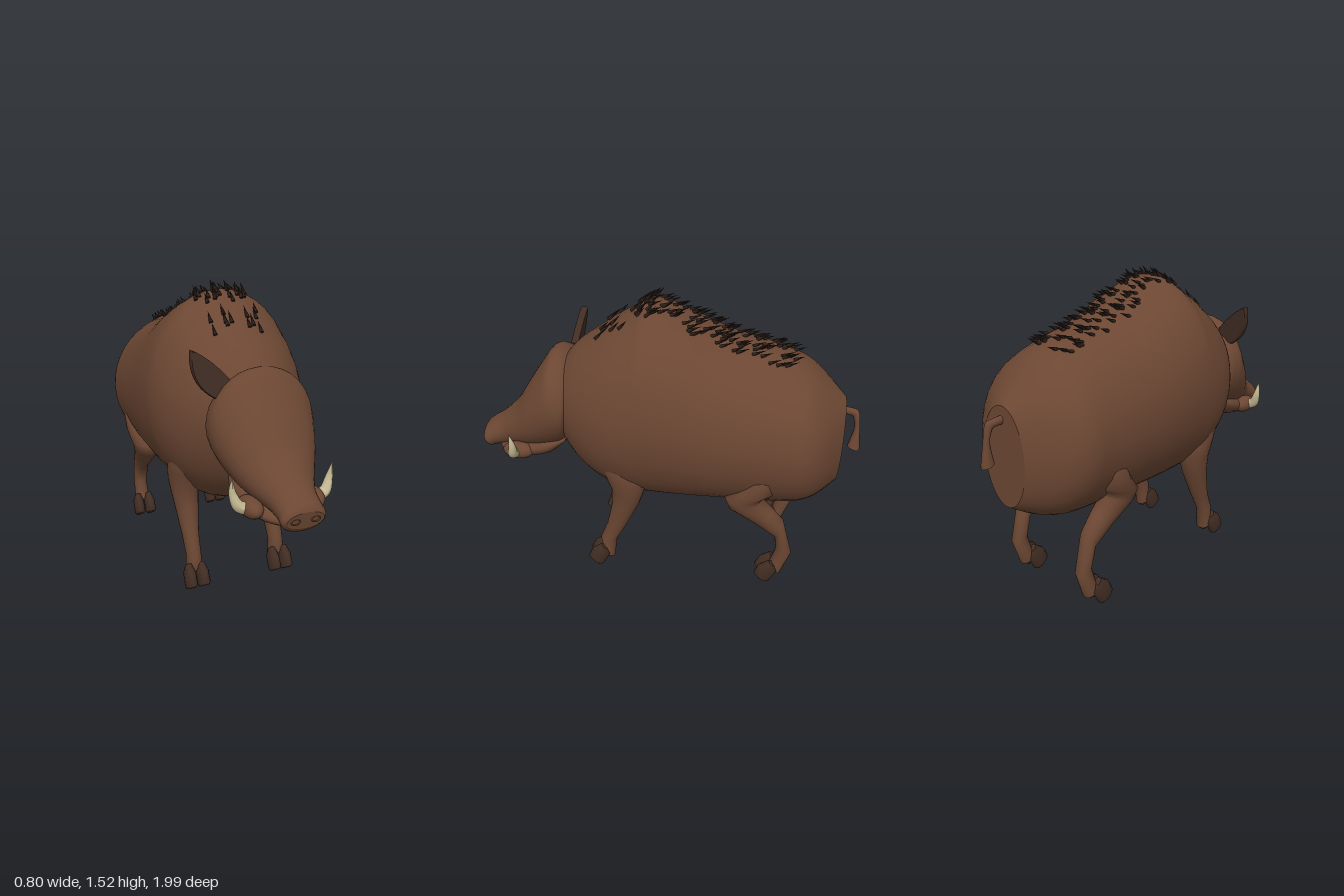
import * as THREE from 'three';
import { mergeGeometries } from 'three/addons/utils/BufferGeometryUtils.js';

const mat = (name, color) => {
  const m = new THREE.MeshStandardMaterial({ color });
  m.name = name;
  return m;
};

// Catmull-Rom refinement of a list of cross-sections
function refine(rings, steps) {
  const out = [], n = rings.length;
  for (let i = 0; i < n - 1; i++) {
    const [a, b, c, d] = [rings[Math.max(i - 1, 0)], rings[i], rings[i + 1], rings[Math.min(i + 2, n - 1)]];
    for (let s = 0; s < steps; s++) {
      const t = s / steps;
      out.push(b.map((p, k) => p + 0.5 * t * (c[k] - a[k] + t * (2 * a[k] - 5 * p + 4 * c[k] - d[k]
        + t * (3 * (p - c[k]) + d[k] - a[k])))));
    }
  }
  out.push(rings[n - 1]);
  return out;
}

// Skin over elliptical rings [z1, y1, z2, y2, halfWidth, centreX], with flat end caps
function loft(rings, sides = 24) {
  const pos = [], idx = [];
  const ringPoint = ([z1, y1, z2, y2, w, x = 0], j) => {
    const a = (j / sides) * Math.PI * 2, c = Math.cos(a), s = Math.sin(a);
    pos.push(x + w * c, (y1 + y2) / 2 + s * (y1 - y2) / 2, (z1 + z2) / 2 + s * (z1 - z2) / 2);
  };
  rings.forEach((r, i) => {
    for (let j = 0; j < sides; j++) {
      ringPoint(r, j);
      if (i === rings.length - 1) continue;
      const a = i * sides + j, b = i * sides + (j + 1) % sides;
      idx.push(a, b, a + sides, b, b + sides, a + sides);
    }
  });
  [rings[0], rings[rings.length - 1]].forEach((r, end) => {
    const start = pos.length / 3;
    for (let j = 0; j < sides; j++) ringPoint(r, j);
    for (let j = 1; j < sides - 1; j++) {
      if (end) idx.push(start, start + j, start + j + 1);
      else idx.push(start, start + j + 1, start + j);
    }
  });
  const g = new THREE.BufferGeometry();
  g.setAttribute('position', new THREE.Float32BufferAttribute(pos, 3));
  g.setIndex(idx);
  g.computeVertexNormals();
  return g;
}

export function createModel() {
  const root = new THREE.Group();
  root.name = 'boar';
  const hide = mat('brown hide', 0x6c4733);
  const dark = mat('dark brown', 0x412d23);
  const hair = mat('black bristle', 0x2a1e19);
  const ivory = mat('ivory', 0xc4b992);
  const add = (name, geometry, material, parent = root) => {
    const m = new THREE.Mesh(geometry, material);
    m.name = name;
    parent.add(m);
    return m;
  };

  // Body: z, top, bottom, half width
  const body = refine([
    [-0.9, 1.02, 0.54, 0.137], [-0.8, 1.12, 0.48, 0.285], [-0.7, 1.2, 0.445, 0.355], [-0.55, 1.26, 0.428, 0.366],
    [-0.3, 1.33, 0.42, 0.383], [-0.1, 1.42, 0.413, 0.396], [0.06, 1.472, 0.413, 0.397], [0.15, 1.43, 0.42, 0.39],
    [0.25, 1.37, 0.448, 0.367], [0.35, 1.3, 0.5, 0.324], [0.44, 1.235, 0.575, 0.265], [0.5, 1.17, 0.66, 0.215],
  ].map(([z, t, b, w]) => [z, t, z, b, w]), 4);
  add('body', loft(body, 40), hide);

  // Head tapering into the snout
  add('head', loft(refine([
    [0.455, 1.09, 0.49, 0.77, 0.22], [0.47, 1.15, 0.51, 0.71, 0.246], [0.52, 1.19, 0.535, 0.68, 0.253],
    [0.575, 1.19, 0.555, 0.665, 0.253], [0.635, 1.115, 0.6, 0.65, 0.237], [0.715, 0.995, 0.68, 0.63, 0.202],
    [0.79, 0.88, 0.76, 0.62, 0.157], [0.88, 0.79, 0.84, 0.61, 0.114], [0.945, 0.745, 0.915, 0.595, 0.103],
    [0.982, 0.715, 0.955, 0.587, 0.105], [0.995, 0.69, 0.978, 0.61, 0.088],
  ], 4), 32), hide);
  add('lowerJaw', loft(refine([
    [0.5, 0.75, 0.53, 0.68, 0.14], [0.6, 0.76, 0.6, 0.61, 0.178], [0.7, 0.72, 0.7, 0.578, 0.17],
    [0.8, 0.68, 0.8, 0.569, 0.145], [0.88, 0.65, 0.88, 0.58, 0.1], [0.92, 0.625, 0.92, 0.6, 0.03],
  ], 4)), hide);

  const leg = {
    front: [
      [0.275, 0.73, 0.16, 0.73, 0.045], [0.308, 0.695, 0.1, 0.69, 0.076], [0.28, 0.61, 0.075, 0.59, 0.08],
      [0.25, 0.52, 0.07, 0.54, 0.074], [0.252, 0.42, 0.105, 0.43, 0.062], [0.285, 0.27, 0.18, 0.27, 0.043],
      [0.325, 0.17, 0.235, 0.17, 0.038], [0.315, 0.09, 0.25, 0.05, 0.042],
    ],
    rear: [
      [-0.475, 0.72, -0.56, 0.72, 0.045], [-0.44, 0.685, -0.59, 0.69, 0.08], [-0.395, 0.61, -0.59, 0.605, 0.085],
      [-0.34, 0.54, -0.545, 0.57, 0.083], [-0.365, 0.475, -0.53, 0.535, 0.073], [-0.5, 0.38, -0.59, 0.465, 0.058],
      [-0.61, 0.295, -0.65, 0.395, 0.045], [-0.625, 0.21, -0.707, 0.19, 0.038], [-0.595, 0.1, -0.66, 0.05, 0.042],
    ],
  };
  const toe = [
    [0.315, 0.145, 0.285, 0.115, 0.017], [0.365, 0.11, 0.27, 0.08, 0.03],
    [0.39, 0.06, 0.305, 0.01, 0.031], [0.375, 0.04, 0.32, 0.002, 0.022],
  ];

  for (const side of [1, -1]) {
    const label = side > 0 ? 'left' : 'right';
    // Legs with cloven hooves
    for (const [end, shift] of [['front', 0], ['rear', -0.91]]) {
      const limb = leg[end].map(([z1, y1, z2, y2, w]) => {
        const lift = Math.max(0, (y1 + y2) / 2 - 0.4) * (end === 'front' ? 0.055 : 0.14);
        return [z1, y1, z2, y2, w, side * (0.231 + lift)];
      });
      const g = new THREE.Group();
      g.name = `${label} ${end} leg`;
      root.add(g);
      add('limb', loft(limb, 20), hide, g);
      for (const x of [0.2, 0.268]) {
        add('hoofToe', loft(toe.map(([z1, y1, z2, y2, w]) =>
          [z1 + shift, y1, z2 + shift, y2, w, side * x]), 14), dark, g);
      }
    }

    // Lip pouch at the root of each tusk
    const lip = add(`${label} lip`, new THREE.SphereGeometry(1, 18, 12), hide);
    lip.position.set(side * 0.15, 0.643, 0.77);
    lip.scale.set(0.05, 0.046, 0.085);

    // Tusk: a tapered, upswept tube
    const path = new THREE.CatmullRomCurve3([[0.175, 0.645, 0.78], [0.21, 0.66, 0.78], [0.235, 0.72, 0.77],
      [0.242, 0.795, 0.778]].map(([x, y, z]) => new THREE.Vector3(side * x, y, z)));
    const tusk = new THREE.TubeGeometry(path, 16, 0.029, 12);
    const p = tusk.attributes.position;
    const v = new THREE.Vector3();
    for (let i = 0; i < p.count; i++) {
      const t = Math.floor(i / 13) / 16;
      const c = path.getPointAt(t);
      v.fromBufferAttribute(p, i).sub(c).multiplyScalar(Math.max(0.03, 1 - t ** 1.7)).add(c);
      p.setXYZ(i, v.x, v.y, v.z);
    }
    tusk.computeVertexNormals();
    add(`${label} tusk`, tusk, ivory);

    // Nostril rim
    const nostril = add(`${label} nostril`, new THREE.TorusGeometry(0.02, 0.004, 6, 18), hide);
    nostril.position.set(side * 0.047, 0.65, 0.987);
    nostril.scale.y = 0.6;
  }

  // Single upright ear on the right, leaning back towards its tip
  const s = new THREE.Shape();
  s.moveTo(-0.15, 1.145);
  s.quadraticCurveTo(-0.23, 1.235, -0.308, 1.275);
  s.quadraticCurveTo(-0.325, 1.14, -0.215, 1.075);
  s.lineTo(-0.15, 1.09);
  const ear = new THREE.ExtrudeGeometry(s, {
    depth: 0.008, bevelEnabled: true, bevelThickness: 0.016, bevelSize: 0.008, bevelSegments: 3, curveSegments: 10,
  });
  ear.applyMatrix4(new THREE.Matrix4().set(1, 0, 0, 0, 0, 1, 0, 0, 0, -0.15, 1, 0.675, 0, 0, 0, 1));
  add('rightEar', ear, dark);

  // Tail bending down with a tufted end
  add('tail', loft(refine([
    [-0.88, 0.935, -0.88, 0.975, 0.016, 0.005], [-0.935, 0.93, -0.945, 0.968, 0.017, 0.01],
    [-0.947, 0.915, -0.972, 0.95, 0.019, 0.018], [-0.956, 0.86, -0.985, 0.86, 0.018, 0.025],
    [-0.935, 0.765, -0.998, 0.745, 0.03, 0.033],
  ], 3), 14), hide);

  // Bristles scattered along the spine, swept backwards
  let seed = 7;
  const rand = () => (seed = (seed * 16807) % 2147483647) / 2147483647;
  const bristles = [];
  for (let i = 0; i < 140; i++) {
    const z = i < 12 ? 0.2 + rand() * 0.13 : -0.64 + rand() * 0.8;
    const x = (i % 2 ? -0.14 : 0.02) + rand() * 0.12;
    const k = body.findIndex((r) => r[0] >= z);
    const [a, b] = [body[k - 1], body[k]];
    const [, top, , bottom, w] = a.map((n, q) => n + (b[q] - n) * (z - a[0]) / (b[0] - a[0]));
    const y = (top + bottom) / 2 + (top - bottom) / 2 * Math.sqrt(1 - (x / w) ** 2);
    const cone = new THREE.ConeGeometry(0.01, 0.055 + rand() * 0.02, 6);
    cone.translate(0, 0.02, 0);
    cone.rotateX(z > 0.06 ? -0.75 : -1.2);
    cone.translate(x, y + 0.007, z);
    bristles.push(cone);
  }
  add('spineBristles', mergeGeometries(bristles), hair);
  return root;
}
